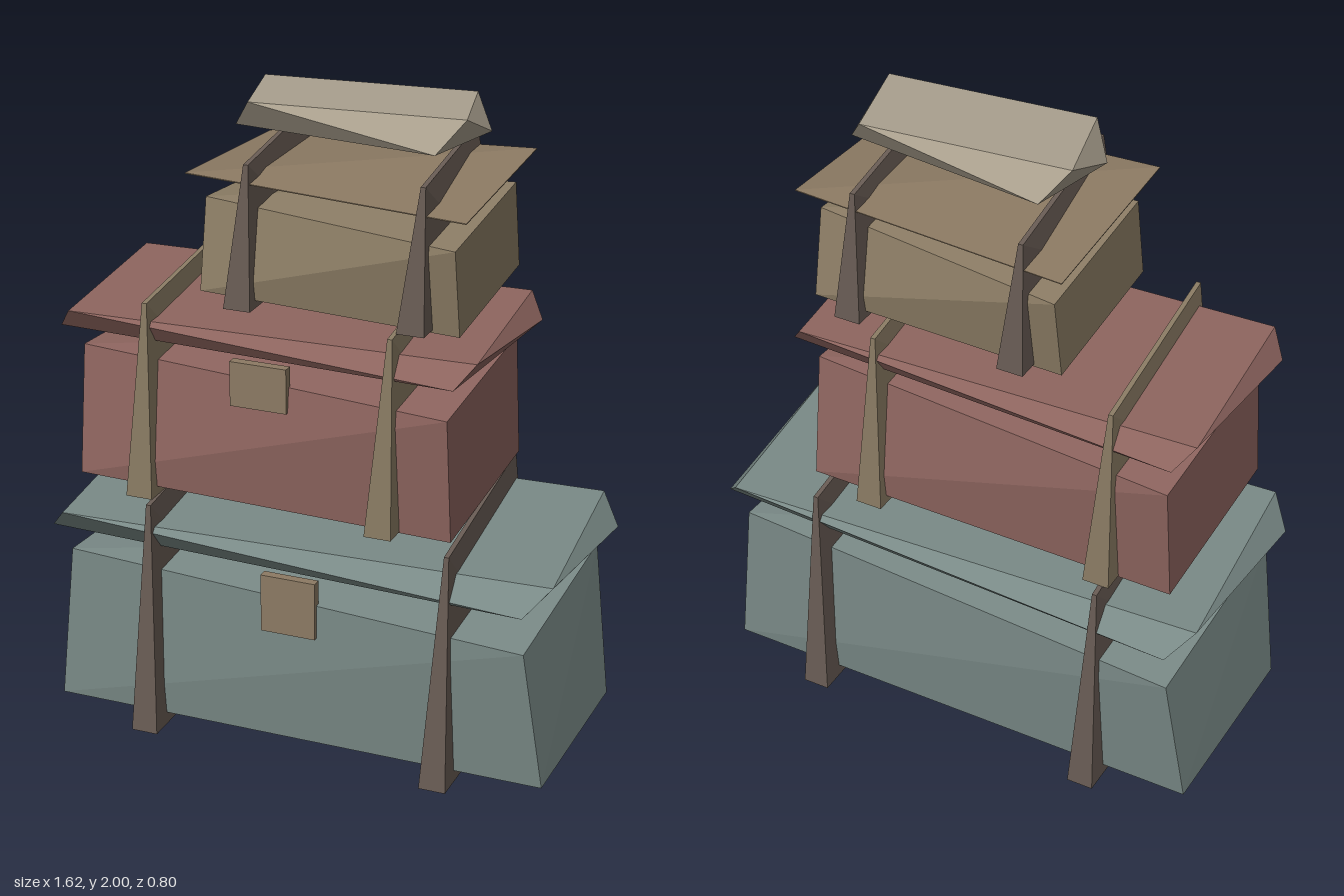
import * as THREE from 'three';
import { ConvexGeometry } from 'three/addons/geometries/ConvexGeometry.js';

const paint = (name, color) => {
  const m = new THREE.MeshStandardMaterial({ color });
  m.name = name;
  return m;
};

// Crooked block: each corner of a box (signs sx, sy, sz) is pulled inward by rule(c, k, m).
// k tells the two diagonals of the plan apart, m swaps them between top and bottom.
function block(name, material, [x0, x1], [y0, y1], [z0, z1], rule) {
  const points = [];
  for (const sx of [-1, 1]) for (const sy of [-1, 1]) for (const sz of [-1, 1]) {
    const inset = { x: 0, y: 0, z: 0 };
    if (rule) rule(inset, sx * sz, sx * sy * sz, sy);
    points.push(new THREE.Vector3(
      (sx > 0 ? x1 : x0) - sx * inset.x,
      (sy > 0 ? y1 : y0) - sy * inset.y,
      (sz > 0 ? z1 : z0) - sz * inset.z));
  }
  const mesh = new THREE.Mesh(new ConvexGeometry(points), material);
  mesh.name = name;
  return mesh;
}

// Lid twisted in plan: top and bottom turn opposite ways
const twisted = (d) => (c, k, m) => { if (m < 0) c.x = d; else c.z = d; };

// Trunk body with leaning sides and tilted top and bottom
const leaning = (d) => (c, k, m, sy) => {
  if (k * sy > 0) c.y = d;
  if (m < 0) c.z = d;
};

// Bottom trunk: level base, tapering ends, tilted top
const tapered = (c, k, m, sy) => {
  if (sy < 0) { c.z = 0.055; return; }
  c.x = 0.05;
  if (k > 0) c.y = 0.05; else c.z = 0.055;
};

// Strap: square base, top pinched to a slanting sliver
const pinched = (c, k, m, sy) => { if (sy > 0 && k < 0) c.x = 0.07; };

// Thin board warped across its diagonals
const warped = (c, k, m, sy) => { if (k * sy > 0) c.y = 0.044; };

export function createModel() {
  const teal = paint('teal', 0x7a8a87);
  const red = paint('dusty red', 0x8e655f);
  const khaki = paint('khaki', 0x8c7d65);
  const tan = paint('tan', 0x8c7a63);
  const brown = paint('dark brown', 0x6b5e56);
  const cream = paint('cream', 0xaaa08e);

  const model = new THREE.Group();
  model.name = 'luggageStack';
  const tier = (name, ...parts) => {
    const g = new THREE.Group();
    g.name = name;
    g.add(...parts);
    model.add(g);
  };
  const straps = (material, lefts, y, z) => lefts.map((x) =>
    block('strap', material, [x, x + 0.085], y, z, pinched));

  // Large trunk
  tier('bottomTrunk',
    block('trunkBody', teal, [-0.795, 0.795], [0.04, 0.55], [-0.38, 0.38], tapered),
    block('trunkLid', teal, [-0.81, 0.81], [0.62, 0.70], [-0.395, 0.39], twisted(0.07)),
    block('clasp', tan, [-0.09, 0.085], [0.415, 0.60], [0.34, 0.37]),
    ...straps(brown, [-0.52, 0.433], [0, 0.78], [-0.40, 0.40]));

  // Middle case
  tier('middleCase',
    block('caseBody', red, [-0.70, 0.48], [0.77, 1.22], [-0.33, 0.33], leaning(0.048)),
    block('caseLid', red, [-0.77, 0.555], [1.275, 1.345], [-0.35, 0.345], twisted(0.053)),
    block('clasp', tan, [-0.20, -0.02], [1.115, 1.255], [0.30, 0.33]),
    ...straps(khaki, [-0.535, 0.237], [0.78, 1.41], [-0.355, 0.36]));

  // Small case
  tier('topCase',
    block('caseBody', khaki, [-0.31, 0.48], [1.395, 1.72], [-0.285, 0.285], leaning(0.05)),
    block('caseLid', tan, [-0.343, 0.518], [1.761, 1.808], [-0.307, 0.304], warped),
    ...straps(brown, [-0.225, 0.315], [1.41, 1.857], [-0.313, 0.313]));

  // Loose parcel on top
  model.add(block('topParcel', cream, [-0.27, 0.445], [1.907, 2.0], [-0.18, 0.177], twisted(0.07)));

  return model;
}
